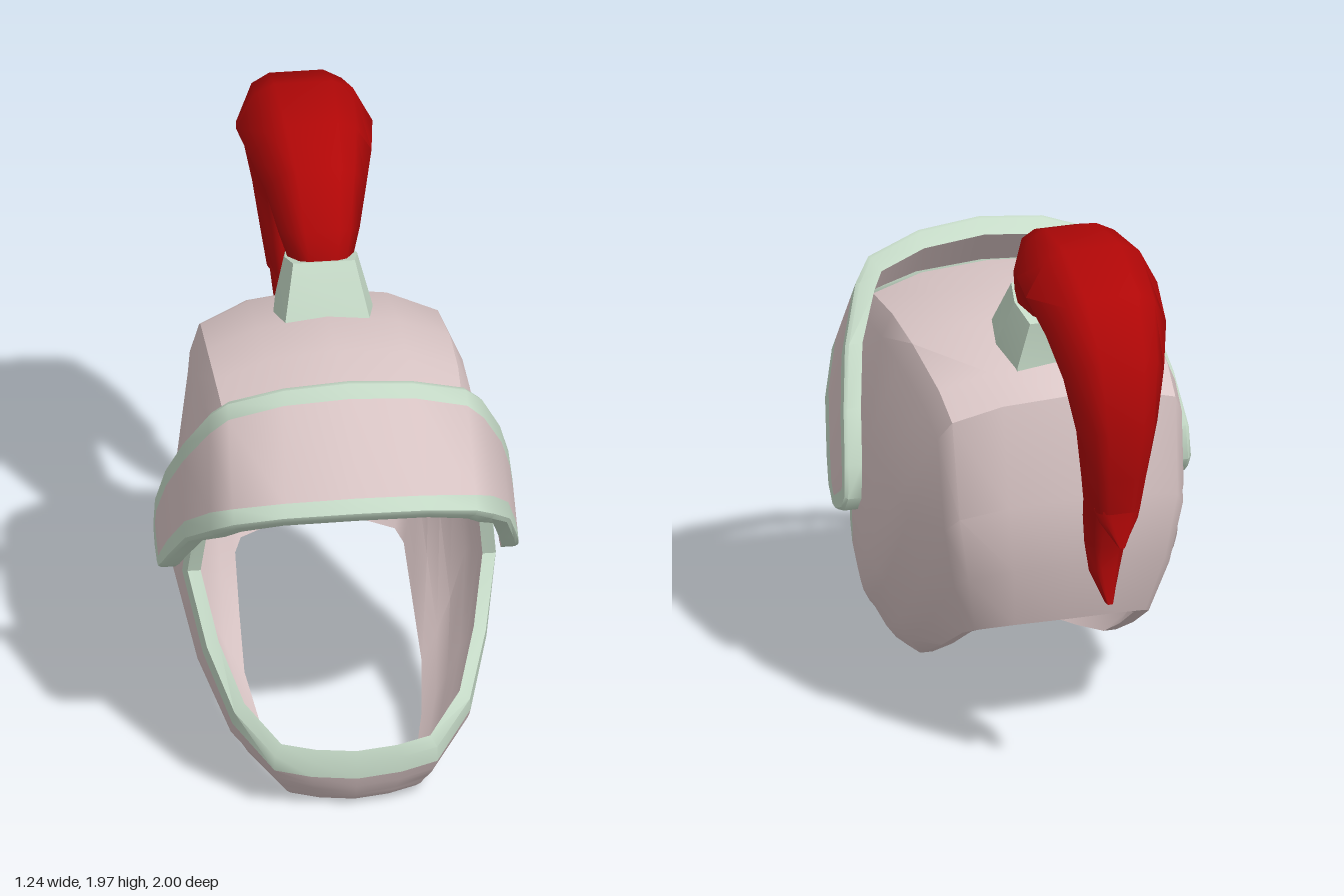
import * as THREE from 'three';
import { toCreasedNormals } from 'three/addons/utils/BufferGeometryUtils.js';

const steel = new THREE.MeshStandardMaterial({ color: 0xdac6c6 });
steel.name = 'pale rose steel';
const trim = new THREE.MeshStandardMaterial({ color: 0xc6dbc8 });
trim.name = 'pale green trim';
const red = new THREE.MeshStandardMaterial({ color: 0xb00707 });
red.name = 'plume red';

const mix = (a, b, t) => a + (b - a) * t;
const lerp3 = (a, b, t) => a.map((v, i) => mix(v, b[i], t));

// Surface through successive rows of points; rows may close into rings.
function skin(name, material, rows, closed, crease = 0.75) {
  const pos = [];
  const tri = (a, b, c) => {
    const [A, B, C] = [a, b, c].map((p) => new THREE.Vector3(...p));
    if (B.sub(A).cross(C.sub(A)).length() > 1e-8) pos.push(...a, ...b, ...c);
  };
  for (let i = 0; i + 1 < rows.length; i++) {
    const n = rows[i].length;
    for (let j = 0; j < (closed ? n : n - 1); j++) {
      const k = (j + 1) % n;
      tri(rows[i][j], rows[i][k], rows[i + 1][j]);
      tri(rows[i][k], rows[i + 1][k], rows[i + 1][j]);
    }
  }
  const g = new THREE.BufferGeometry();
  g.setAttribute('position', new THREE.Float32BufferAttribute(pos, 3));
  const mesh = new THREE.Mesh(toCreasedNormals(g, crease), material);
  mesh.name = name;
  return mesh;
}

// Ring collapsed to its centre, used to cap a sweep.
function cap(ring) {
  const c = [0, 1, 2].map((i) => ring.reduce((s, p) => s + p[i], 0) / ring.length);
  return ring.map(() => c);
}

// ---- Helmet shell: loops that swing from the face opening to the neck opening
// [top z, top y, chin z, chin y, backward bulge, corner, middle and chin half widths]
const shellLoops = [
  [0.70, 1.40, 0.975, 0.19, 0.33, 0.42, 0.53, 0.28],
  [0.62, 1.43, 0.975, 0.13, 0.37, 0.43, 0.54, 0.28],
  [0.35, 1.465, 0.96, 0.09, 0.37, 0.44, 0.55, 0.27],
  [0.10, 1.45, 0.95, 0.07, 0.33, 0.44, 0.55, 0.265],
  [-0.20, 1.385, 0.94, 0.05, 0.28, 0.43, 0.535, 0.255],
  [-0.33, 1.31, 0.93, 0.035, 0.24, 0.42, 0.515, 0.245],
  [-0.39, 0.95, 0.92, 0.02, 0.18, 0.41, 0.46, 0.23],
  [-0.37, 0.70, 0.905, 0.01, 0.13, 0.37, 0.41, 0.215],
  [-0.29, 0.465, 0.88, 0.0, 0.08, 0.32, 0.35, 0.2],
];
const along = [0, 0.015, 0.055, 0.105, 0.3, 0.5, 0.7, 0.86, 0.97, 0.99, 1];
const bulgeAt = [0, 0, 0.04, 0.12, 0.65, 1, 0.73, 0.32, 0.06, 0.02, 0];

function shellLoop([tz, ty, bz, by, bulge, c, m, l], inset) {
  const len = Math.hypot(bz - tz, by - ty);
  const dz = (bz - tz) / len, dy = (by - ty) / len;
  const xs = [0, 0.55 * c, 0.95 * c, 1.04 * c, mix(c, m, 0.75), m,
    mix(l, m, 0.8), mix(l, m, 0.5), l, 0.55 * l, 0];
  const half = along.map((s, i) => {
    const d = inset + s * (len - 2 * inset), k = bulge * bulgeAt[i];
    return [xs[i] * (1 - inset / m), ty + dy * d - dz * k, tz + dz * d + dy * k];
  });
  const mirrored = half.slice(1, -1).reverse().map(([x, y, z]) => [-x, y, z]);
  return [...half, ...mirrored];
}

function addShell(group) {
  const outer = shellLoops.map((p) => shellLoop(p, 0));
  const inner = shellLoops.map((p) => shellLoop(p, 0.045));
  group.add(skin('faceOpeningRim', trim, [inner[0], outer[0], outer[1]], true));
  group.add(skin('helmetShell', steel, [...outer.slice(1), ...inner.reverse()], true));
}

// ---- Visor: stations from the centre to the hinge end, upper and lower edge points
const visorStations = [
  [[0, 1.56, 0.715], [0, 1.19, 1.01]],
  [[0.22, 1.54, 0.705], [0.25, 1.17, 0.98]],
  [[0.41, 1.48, 0.67], [0.42, 1.13, 0.935]],
  [[0.47, 1.41, 0.62], [0.49, 1.06, 0.85]],
  [[0.545, 1.23, 0.50], [0.56, 0.95, 0.70]],
  [[0.59, 1.05, 0.37], [0.60, 0.80, 0.55]],
  [[0.615, 0.88, 0.275], [0.615, 0.73, 0.48]],
  [[0.62, 0.76, 0.265], [0.62, 0.68, 0.41]],
  [[0.62, 0.70, 0.31], [0.62, 0.68, 0.37]],
];
const visorDepth = [[0, 0.05, 0.06], [0, 0.05, 0.06], [0.03, 0.045, 0.05], [0.055, 0.03, 0.03]];
// The border is narrower across the front
const borderShare = [0.68, 0.68, 0.75, 0.9];

// Upper and lower rows across the whole visor, inset by v and pushed inward
function visorRows(v, inward) {
  const last = visorStations.length - 1;
  const [upper, lower] = [0, 1].map((e) => {
    const half = visorStations.map((st, i) => {
      const d = visorDepth[i] || [0.06, 0, 0];
      return lerp3(st[e], st[1 - e], v * (borderShare[i] || 1)).map((q, a) => q - inward * d[a]);
    });
    // Pull the inset outline back from the hinge end
    for (const i of [last - 1, last]) half[i] = lerp3(half[last - 2], half[i], 1 - 2.5 * v);
    return [...half.slice(1).reverse().map(([x, y, z]) => [-x, y, z]), ...half];
  });
  return { upper, lower, ring: [...upper, ...lower.slice().reverse()] };
}

function addVisor(group) {
  const visor = new THREE.Group();
  visor.name = 'visor';
  const panel = visorRows(0.2, 0), face = visorRows(0.035, 0);
  const edge = visorRows(0, 0.2), inner = visorRows(0, 1);
  visor.add(skin('visorBorder', trim, [panel, face, edge, inner].map((r) => r.ring), true));
  visor.add(skin('visorPanel', steel, [panel.lower, panel.upper], false));
  visor.add(skin('visorLining', steel, [inner.upper, inner.lower], false));
  group.add(visor);
}

// ---- Sweeps: half profiles as [step from outer to inner side, share of half width]
const hexProfile = [[0, 0.85], [0.45, 1], [1, 0.85]];
const plumeProfile = [[0, 0.43], [0.1, 0.72], [0.5, 1], [0.9, 0.72], [1, 0.5]];

// Each section is [outer z, outer y, inner z, inner y, half width]
function sweep(name, material, sections, profile, crease) {
  const rings = sections.map(([oz, oy, iz, iy, w]) => {
    const half = profile.map(([t, f]) => [w * f, mix(oy, iy, t), mix(oz, iz, t)]);
    return [...half, ...half.slice().reverse().map(([x, y, z]) => [-x, y, z])];
  });
  return skin(name, material, [cap(rings[0]), ...rings, cap(rings[rings.length - 1])], true, crease);
}

function addPlume(group) {
  group.add(sweep('plumeHolder', trim, [
    [0.115, 1.40, -0.20, 1.34, 0.175],
    [0.10, 1.44, -0.20, 1.38, 0.17],
    [0.0, 1.61, -0.22, 1.545, 0.125],
  ], hexProfile, 0.3));
  group.add(sweep('plume', red, [
    [-0.01, 1.56, -0.19, 1.51, 0.10],
    [-0.01, 1.61, -0.20, 1.55, 0.115],
    [-0.05, 1.70, -0.25, 1.60, 0.14],
    [-0.17, 1.875, -0.33, 1.65, 0.175],
    [-0.35, 1.95, -0.45, 1.665, 0.21],
    [-0.60, 1.97, -0.58, 1.65, 0.235],
    [-0.83, 1.88, -0.69, 1.59, 0.215],
    [-0.96, 1.69, -0.74, 1.52, 0.18],
    [-1.0, 1.44, -0.77, 1.41, 0.145],
    [-0.965, 1.25, -0.755, 1.25, 0.12],
    [-0.94, 1.12, -0.72, 1.11, 0.10],
  ], plumeProfile, 0.95));
  group.add(sweep('plumeLongTip', red, [
    [-0.88, 1.13, -0.73, 1.14, 0.095],
    [-0.85, 1.06, -0.70, 1.06, 0.088],
    [-0.815, 0.95, -0.685, 0.95, 0.075],
    [-0.79, 0.85, -0.69, 0.82, 0.055],
    [-0.81, 0.73, -0.775, 0.74, 0.015],
  ], plumeProfile, 0.95));
  group.add(sweep('plumeShortTip', red, [
    [-0.94, 1.13, -0.84, 1.13, 0.085],
    [-0.938, 1.08, -0.87, 1.09, 0.07],
    [-0.95, 0.995, -0.925, 1.01, 0.015],
  ], plumeProfile, 0.95));
}

export function createModel() {
  const helmet = new THREE.Group();
  helmet.name = 'plumedHelmet';
  addShell(helmet);
  addVisor(helmet);
  addPlume(helmet);
  return helmet;
}
